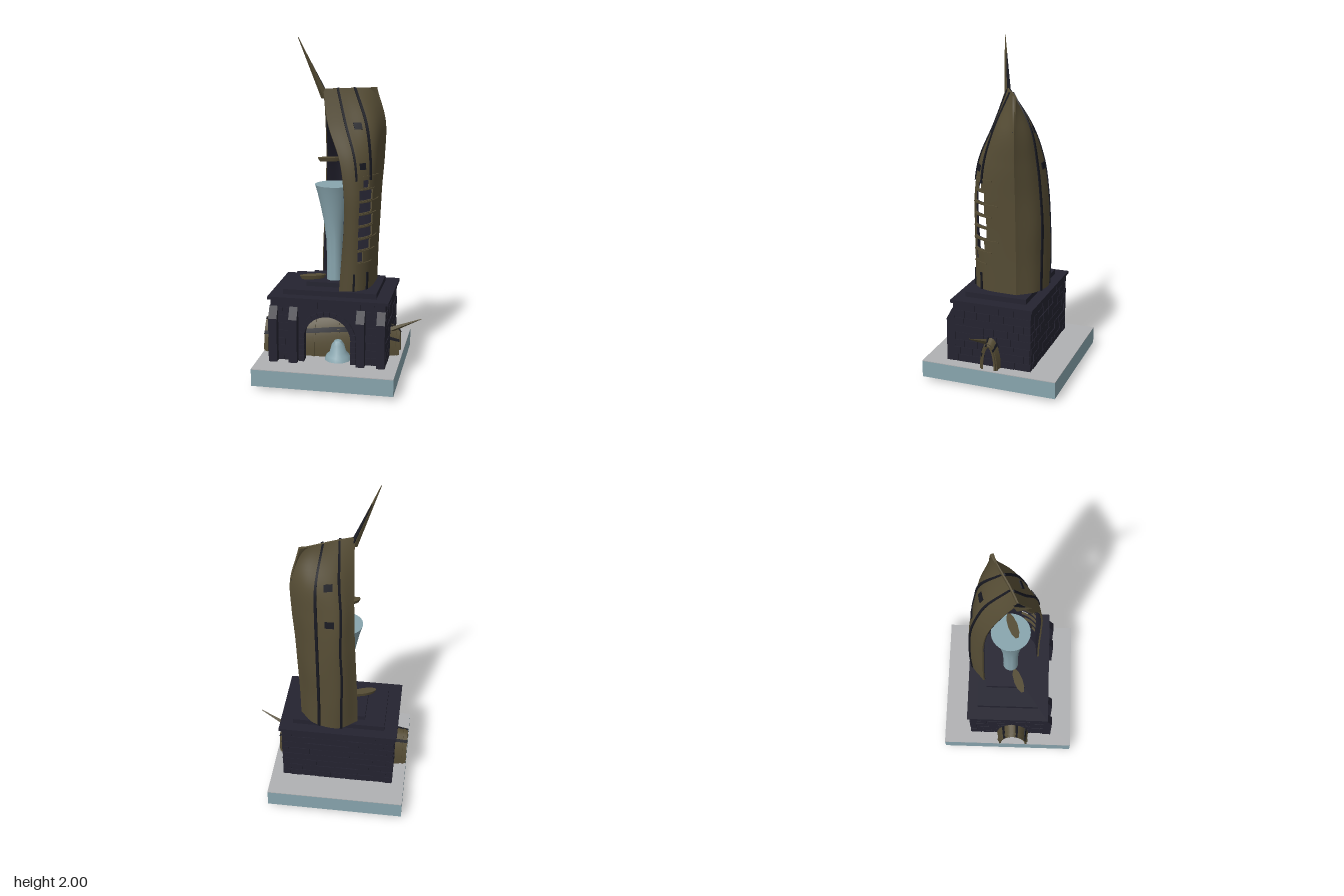
import * as THREE from 'three';
import { mergeGeometries, toCreasedNormals } from 'three/addons/utils/BufferGeometryUtils.js';

const mat = (name, color, side = THREE.FrontSide) => {
  const m = new THREE.MeshStandardMaterial({ color, side });
  m.name = name;
  return m;
};

export function createModel() {
  const olive = mat('weatheredBronze', 0x554c34);
  const navy = mat('darkStone', 0x242330);
  const black = mat('darkRib', 0x171820);
  const blue = mat('paleWater', 0x88a5ae);
  const grey = mat('groundGrey', 0xb0b1b3);
  const model = new THREE.Group();
  const add = (name, geo, material, parent = model) => {
    const m = new THREE.Mesh(geo, material);
    m.name = name;
    parent.add(m);
    return m;
  };
  const group = (name) => {
    const g = new THREE.Group();
    g.name = name;
    model.add(g);
    return g;
  };
  // box from min and max corners
  const box = (x0, x1, y0, y1, z0, z1) =>
    new THREE.BoxGeometry(x1 - x0, y1 - y0, z1 - z0).translate((x0 + x1) / 2, (y0 + y1) / 2, (z0 + z1) / 2);

  // thick sheet following a surface P(u, v), between two offsets, with optional missing cells
  function sheet(P, [u0, u1, v0, v1], nu, nv, outer, inner, skip = () => false) {
    const top = [], low = [], pos = [];
    for (let j = 0; j <= nv; j++) for (let i = 0; i <= nu; i++) {
      const u = u0 + (u1 - u0) * i / nu, v = v0 + (v1 - v0) * j / nv, e = 0.004;
      const p = P(u, v);
      const du = P(Math.min(u + e, 1), v).sub(P(Math.max(u - e, 0), v));
      const dv = P(u, Math.min(v + e, 1)).sub(P(u, Math.max(v - e, 0)));
      const n = du.cross(dv).normalize();
      top.push(p.clone().addScaledVector(n, outer));
      low.push(p.clone().addScaledVector(n, inner));
    }
    const id = (i, j) => j * (nu + 1) + i;
    const quad = (a, b, c, d) => [a, b, c, a, c, d].forEach((p) => pos.push(p.x, p.y, p.z));
    const solid = (i, j) => i >= 0 && j >= 0 && i < nu && j < nv && !skip(i, j);
    for (let j = 0; j < nv; j++) for (let i = 0; i < nu; i++) {
      if (!solid(i, j)) continue;
      const k = [id(i, j), id(i + 1, j), id(i + 1, j + 1), id(i, j + 1)];
      quad(...k.map((q) => top[q]));
      quad(...[...k].reverse().map((q) => low[q]));
      [[0, -1], [1, 0], [0, 1], [-1, 0]].forEach(([di, dj], s) => {
        const a = k[s], b = k[(s + 1) % 4];
        if (!solid(i + di, j + dj)) quad(low[a], low[b], top[b], top[a]);
      });
    }
    const g = new THREE.BufferGeometry();
    g.setAttribute('position', new THREE.Float32BufferAttribute(pos, 3));
    return toCreasedNormals(g, 0.6);
  }

  // ground slab with a lumpy underside
  const ground = group('groundSlab');
  add('slabBody', box(-0.475, 0.355, 0.022, 0.122, -0.415, 0.415), blue, ground);
  add('slabTop', box(-0.475, 0.355, 0.122, 0.126, -0.415, 0.415), grey, ground);
  const under = new THREE.PlaneGeometry(0.83, 0.83, 24, 24).rotateX(Math.PI / 2).translate(-0.06, 0.022, 0);
  const up = under.attributes.position;
  for (let i = 0; i < up.count; i++) {
    const x = up.getX(i), z = up.getZ(i);
    const w = 0.5 + 0.3 * Math.sin(x * 13 + z * 5) + 0.2 * Math.sin(z * 17 - x * 9);
    const edge = Math.min(1, 12 * (0.415 - Math.max(Math.abs(x + 0.06), Math.abs(z))));
    up.setY(i, 0.022 - 0.022 * w * edge);
  }
  under.computeVertexNormals();
  add('slabUnderside', under, blue, ground);

  // plinth walls, with an arched doorway in front
  const plinth = group('plinth');
  const wall = new THREE.Shape([[-0.395, 0.125], [-0.2, 0.125], [-0.2, 0.27]].map((p) => new THREE.Vector2(...p)));
  wall.absarc(-0.06, 0.27, 0.14, Math.PI, 0, true);
  [[0.08, 0.125], [0.28, 0.125], [0.28, 0.5], [-0.395, 0.5]].forEach((p) => wall.lineTo(...p));
  add('frontWall', new THREE.ExtrudeGeometry(wall, { depth: 0.05, bevelEnabled: false, curveSegments: 20 })
    .translate(0, 0, 0.185), navy, plinth);
  add('backWall', box(-0.395, 0.28, 0.125, 0.5, -0.238, -0.2), navy, plinth);
  add('rightWall', box(-0.395, -0.36, 0.125, 0.5, -0.2, 0.19), navy, plinth);
  add('leftWall', box(0.245, 0.28, 0.125, 0.5, -0.2, 0.19), navy, plinth);
  add('cornice', box(-0.415, 0.3, 0.498, 0.515, -0.255, 0.252), navy, plinth);
  add('lowerStep', box(-0.335, 0.22, 0.515, 0.546, -0.19, 0.188), navy, plinth);
  add('upperStep', box(-0.213, 0.13, 0.546, 0.572, -0.14, 0.102), navy, plinth);

  // staggered bricks in low relief
  let seed = 7;
  const rnd = () => (seed = (seed * 16807) % 2147483647) / 2147483647;
  const bricks = [];
  const course = (a, b, keep, place) => {
    for (let r = 0; r < 8; r++) {
      const y = 0.127 + r * 0.0465;
      for (let s = a, first = r % 2; s < b - 0.01; first = 0) {
        const e = Math.min(b, s + (first ? 0.04 : 0.06 + 0.04 * rnd()));
        if (keep(s, e, y)) bricks.push(place(s + 0.002, e - 0.002, y, y + 0.0435, 0.003 + 0.004 * rnd()));
        s = e;
      }
    }
  };
  const all = () => true;
  course(-0.4, 0.285, all, (a, b, c, d, t) => box(a, b, c, d, -0.238 - t, -0.237));
  course(-0.24, 0.24, all, (a, b, c, d, t) => box(0.279, 0.28 + t, c, d, a, b));
  course(-0.24, 0.24, all, (a, b, c, d, t) => box(-0.395 - t, -0.394, c, d, a, b));
  course(-0.4, 0.285, (a, b, y) => b < -0.225 || a > 0.105 || y > 0.44,
    (a, b, c, d, t) => box(a, b, c, d, 0.234, 0.235 + t));
  add('bricks', mergeGeometries(bricks), navy, plinth);

  // arch stones around the doorway
  const stones = [];
  for (let i = 0; i < 13; i++) {
    const a = Math.PI * (i + 0.5) / 13;
    stones.push(new THREE.BoxGeometry(0.03, 0.034, 0.02).translate(0.153, 0, 0).rotateZ(a).translate(-0.06, 0.27, 0.238));
  }
  for (let i = 0; i < 4; i++) for (const s of [-1, 1])
    stones.push(new THREE.BoxGeometry(0.03, 0.033, 0.02).translate(-0.06 + s * 0.153, 0.143 + i * 0.036, 0.238));
  add('archStones', mergeGeometries(stones), navy, plinth);

  // sloped buttresses on the front
  const side = new THREE.Shape([[0.23, 0.125], [0.282, 0.125], [0.282, 0.39], [0.245, 0.46], [0.23, 0.46]]
    .map((p) => new THREE.Vector2(...p)));
  for (const x of [-0.378, -0.258, 0.14, 0.26]) {
    const g = new THREE.ExtrudeGeometry(side, { depth: 0.05, bevelEnabled: false });
    add('buttress', g.rotateY(-Math.PI / 2).translate(x + 0.025, 0, 0), navy, plinth);
  }

  // tower surfaces: control columns of [x, z] pairs at seven even heights, joined by smooth curves
  const surface = (columns) => {
    const curves = columns.map((c) => new THREE.CatmullRomCurve3(
      c.map(([x, z], k) => new THREE.Vector3(x, 0.55 + 1.16 * k / 6, z)), false, 'catmullrom'));
    return (u, v) => new THREE.CatmullRomCurve3(curves.map((c) => c.getPoint(v)), false, 'catmullrom').getPoint(u);
  };
  const seam = [[0.18, -0.116], [0.185, -0.116], [0.195, -0.116], [0.205, -0.116], [0.22, -0.116], [0.222, -0.116], [0.17, -0.1]];
  const frontP = surface([
    [[0, 0.185], [0.015, 0.185], [0.03, 0.19], [0.03, 0.19], [0, 0.17], [-0.075, 0.115], [-0.115, 0.055]],
    [[0.1, 0.165], [0.105, 0.165], [0.11, 0.165], [0.115, 0.16], [0.1, 0.135], [0.04, 0.07], [-0.02, 0.01]],
    [[0.165, 0.07], [0.17, 0.07], [0.175, 0.07], [0.185, 0.065], [0.185, 0.05], [0.165, 0.01], [0.085, -0.05]],
    seam]);
  const backP = surface([seam,
    [[0.09, -0.21], [0.09, -0.21], [0.095, -0.215], [0.1, -0.205], [0.11, -0.19], [0.11, -0.16], [0.075, -0.06]],
    [[-0.06, -0.24], [-0.06, -0.245], [-0.06, -0.24], [-0.05, -0.23], [-0.05, -0.2], [-0.03, -0.135], [-0.02, -0.005]],
    [[-0.17, -0.16], [-0.165, -0.16], [-0.155, -0.155], [-0.145, -0.15], [-0.135, -0.12], [-0.125, -0.05], [-0.115, 0.04]]]);

  // tower shells with a ragged louvred opening in the front one
  const tower = group('tower');
  const spans = [[8, 11], [8, 15], [8, 16], [8, 16], [8, 15], [8, 15], [10, 13]];
  const opening = (i, j) => {
    const r = j - 12, s = spans[Math.floor(r / 5)];
    return r >= 0 && j < 45 && r % 5 < 4 && i >= s[0] && i < s[1];
  };
  add('frontShell', sheet(frontP, [0, 1, 0, 1], 24, 80, 0, -0.01, opening), olive, tower);
  add('backShell', sheet(backP, [0, 1, 0, 1], 24, 48, 0, -0.01), olive, tower);
  add('frontLining', sheet(frontP, [0, 1, 0, 0.8375], 24, 67, -0.0105, -0.014, opening), navy, tower);
  add('backLining', sheet(backP, [0, 1, 0, 0.8375], 24, 40, -0.0105, -0.014), navy, tower);
  for (let k = 0; k < 8; k++) {
    const v = (11.2 + k * 5) / 80;
    add('louvre', sheet(frontP, [0.34, 0.66 + 0.08 * (k % 3), v, v + 0.006], 10, 1, 0.006, -0.004), olive, tower);
  }

  // ribs and small window plates
  for (const u of [0.27, 0.56]) {
    add('frontRib', sheet(frontP, [u - 0.018, u + 0.018, 0.56, 1], 2, 30, 0.007, -0.002), black, tower);
    add('frontRibStub', sheet(frontP, [u - 0.018, u + 0.018, 0, 0.09], 2, 4, 0.007, -0.002), black, tower);
  }
  for (const u of [0.42, 0.72])
    add('backRib', sheet(backP, [u - 0.016, u + 0.016, 0, 1], 2, 48, 0.007, -0.002), black, tower);
  for (const [P, u, v] of [[frontP, 0.44, 0.82], [frontP, 0.41, 0.63], [backP, 0.57, 0.82], [backP, 0.57, 0.64]])
    add('smallWindow', sheet(P, [u - 0.055, u + 0.055, v - 0.016, v + 0.016], 2, 2, 0.006, -0.001), black, tower);

  // spikes: tapered, four-sided, from base to tip
  const spike = (name, a, b, r, material) => {
    const A = new THREE.Vector3(...a), d = new THREE.Vector3(...b).sub(A);
    const g = new THREE.CylinderGeometry(0.002, r, d.length(), 4).translate(0, d.length() / 2, 0).toNonIndexed();
    g.computeVertexNormals();
    const m = add(name, g, material);
    m.position.copy(A);
    m.quaternion.setFromUnitVectors(new THREE.Vector3(0, 1, 0), d.normalize());
  };
  spike('topSpike', [-0.108, 1.66, 0.043], [-0.245, 2, 0.11], 0.022, olive);
  spike('topSpikeBack', [-0.1, 1.66, 0.035], [-0.2, 1.9, 0.083], 0.018, black);
  spike('sideSpike', [0.27, 0.27, 0.025], [0.47, 0.368, 0.062], 0.018, olive);

  // narrow ledges projecting through the open side
  for (const [x, y, z, len] of [[-0.183, 0.593, 0.06, 0.165], [-0.08, 1.3, 0.02, 0.16]]) {
    const g = new THREE.CylinderGeometry(0.5, 0.42, 1, 10).scale(len, 0.022, 0.055);
    add('ledge', toCreasedNormals(g, 0.5).rotateY(0.36).translate(x, y, z), olive);
  }

  // flared water column and the pool heap below it
  const lathe = (pts, n) => toCreasedNormals(new THREE.LatheGeometry(pts.map((p) => new THREE.Vector2(...p)), n), 0.7);
  add('waterColumn', lathe([[0, 0.57], [0.047, 0.57], [0.046, 0.7], [0.05, 0.82], [0.064, 0.93],
    [0.082, 1.02], [0.1, 1.1], [0.115, 1.15], [0, 1.15]], 32).translate(-0.06, 0, 0.008), blue);
  add('waterHeap', lathe([[0.08, 0.126], [0.07, 0.15], [0.05, 0.17], [0.038, 0.215], [0.02, 0.24], [0, 0.245]], 12)
    .translate(-0.01, 0, 0.165), blue);

  // ribbed shell lying through the plinth
  const fallen = group('fallenShell');
  const path = new THREE.CatmullRomCurve3([[0.34, 0.15, 0.045], [0.08, 0.28, 0.12], [-0.2, 0.25, 0.13], [-0.475, 0.19, 0.09]]
    .map((p) => new THREE.Vector3(...p)), false, 'catmullrom');
  const fallenP = (u, v) => {
    const q = path.getPoint(v), a = Math.PI * u;
    return new THREE.Vector3(q.x, 0.126 + q.y * Math.sin(a), 0.035 * v + q.z * Math.cos(a));
  };
  add('fallenSkin', sheet(fallenP, [0, 1, 0, 1], 20, 30, 0, -0.012), olive, fallen);
  for (const u of [0.2, 0.42, 0.7])
    add('fallenRib', sheet(fallenP, [u - 0.02, u + 0.02, 0, 1], 2, 30, 0.006, -0.002), black, fallen);
  for (const v of [0.02, 0.45, 0.62, 0.975])
    add('fallenBand', sheet(fallenP, [0, 1, v - 0.008, v + 0.008], 20, 1, 0.006, -0.002), olive, fallen);

  return model;
}
